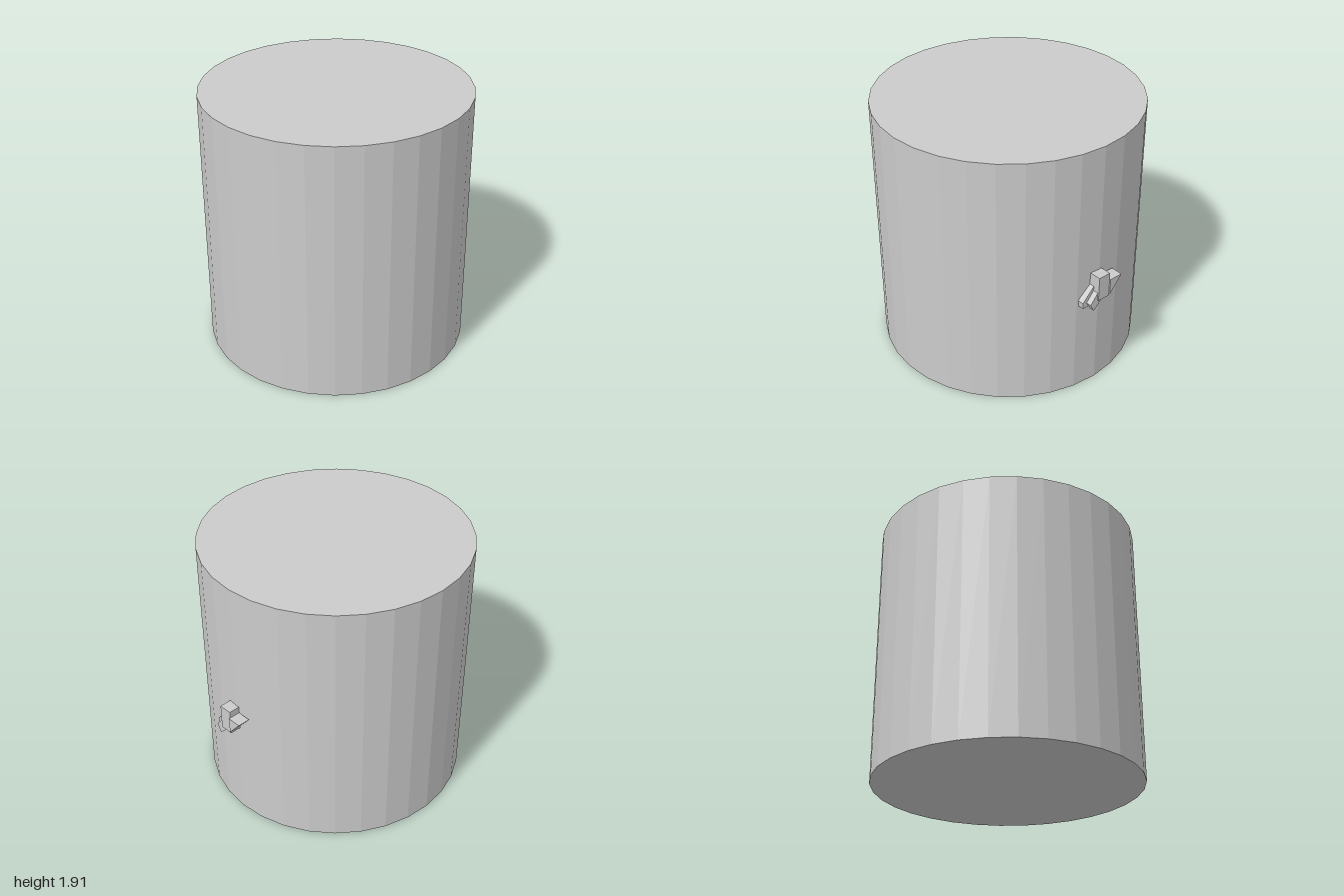
import * as THREE from 'three';

export function createModel() {
  const group = new THREE.Group();
  const material = new THREE.MeshStandardMaterial({ color: 0xcccccc, flatShading: true });

  const add = (name, geometry) => {
    const mesh = new THREE.Mesh(geometry, material);
    mesh.name = name;
    group.add(mesh);
    return mesh;
  };

  // Side profile given as [z, y] points, extruded from x0 to x1
  const addProfile = (name, points, x0, x1) => {
    const shape = new THREE.Shape(points.map(([z, y]) => new THREE.Vector2(-z, y)));
    const geometry = new THREE.ExtrudeGeometry(shape, { depth: x1 - x0, bevelEnabled: false });
    geometry.rotateY(Math.PI / 2).translate(x0, 0, 0);
    return add(name, geometry);
  };

  // Large closed drum
  const drum = add('drum', new THREE.CylinderGeometry(0.955, 0.955, 1.914, 32));
  drum.position.set(-0.045, 0.957, 0);

  // Small latch on the left side: block, rear wedge and two slanted prongs
  addProfile('latchBlock', [[0.077, 0.77], [-0.02, 0.77], [-0.02, 0.957], [0.077, 0.957]], 0.9, 0.99);
  addProfile('latchWedge', [[-0.02, 0.785], [-0.123, 0.908], [-0.02, 0.908]], 0.91, 1.0);
  addProfile('innerProng', [[0.077, 0.865], [0.174, 0.765], [0.17, 0.718], [0.077, 0.718], [0.02, 0.79]], 0.895, 0.94);
  addProfile('outerProng', [[0.077, 0.83], [0.14, 0.755], [0.108, 0.695], [0.03, 0.77]], 0.94, 0.98);

  return group;
}
